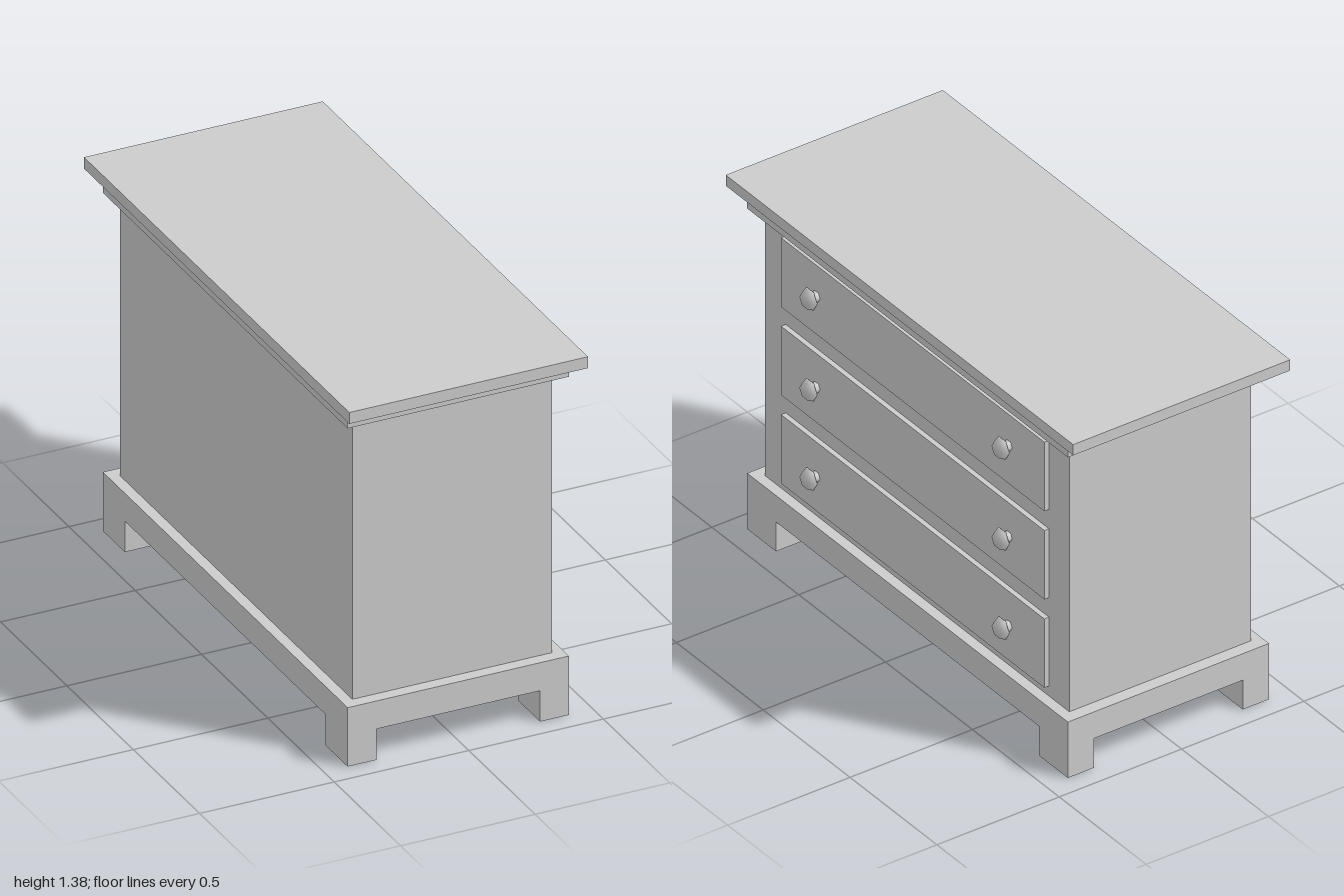
import * as THREE from 'three';

const material = new THREE.MeshStandardMaterial({ color: 0xcccccc });

// Box given by its lower and upper limits on each axis
function box(name, [x0, x1], [y0, y1], [z0, z1]) {
  const mesh = new THREE.Mesh(new THREE.BoxGeometry(x1 - x0, y1 - y0, z1 - z0), material);
  mesh.name = name;
  mesh.position.set((x0 + x1) / 2, (y0 + y1) / 2, (z0 + z1) / 2);
  return mesh;
}

// Six-sided turned knob, pointing along +x
function knobGeometry() {
  const profile = [
    [0.02, 0], [0.02, 0.017], [0.041, 0.026], [0.041, 0.029], [0.03, 0.05], [0, 0.051],
  ].map(([r, h]) => new THREE.Vector2(r, h));
  return new THREE.LatheGeometry(profile, 6).rotateZ(-Math.PI / 2);
}

export function createModel() {
  const model = new THREE.Group();
  model.name = 'chestOfDrawers';

  // Carcass and stepped top
  model.add(
    box('carcass', [-0.372, 0.37], [0.223, 1.28], [-0.875, 0.877]),
    box('cornice', [-0.412, 0.41], [1.28, 1.342], [-0.923, 0.923]),
    box('topBoard', [-0.444, 0.443], [1.342, 1.385], [-1, 1]),
  );

  // Plinth with bracket feet at the four corners
  const plinth = new THREE.Group();
  plinth.name = 'plinth';
  plinth.add(box('plinthBoard', [-0.412, 0.41], [0.117, 0.223], [-0.923, 0.923]));
  for (const x of [[-0.412, -0.305], [0.303, 0.41]])
    for (const z of [[-0.923, -0.757], [0.757, 0.923]])
      plinth.add(box('foot', x, [0, 0.117], z));
  model.add(plinth);

  // Three drawers on the +x side, each with two knobs
  const knobShape = knobGeometry();
  const rows = [[0.263, 0.538, 0.402], [0.616, 0.891, 0.758], [0.968, 1.244, 1.121]];
  for (const [bottom, top, knobY] of rows) {
    const drawer = new THREE.Group();
    drawer.name = 'drawer';
    drawer.add(box('drawerFront', [0.368, 0.389], [bottom, top], [-0.758, 0.758]));
    for (const side of [-1, 1]) {
      const knob = new THREE.Mesh(knobShape, material);
      knob.name = 'knob';
      knob.position.set(0.388, knobY, side * 0.553);
      drawer.add(knob);
    }
    model.add(drawer);
  }
  return model;
}
